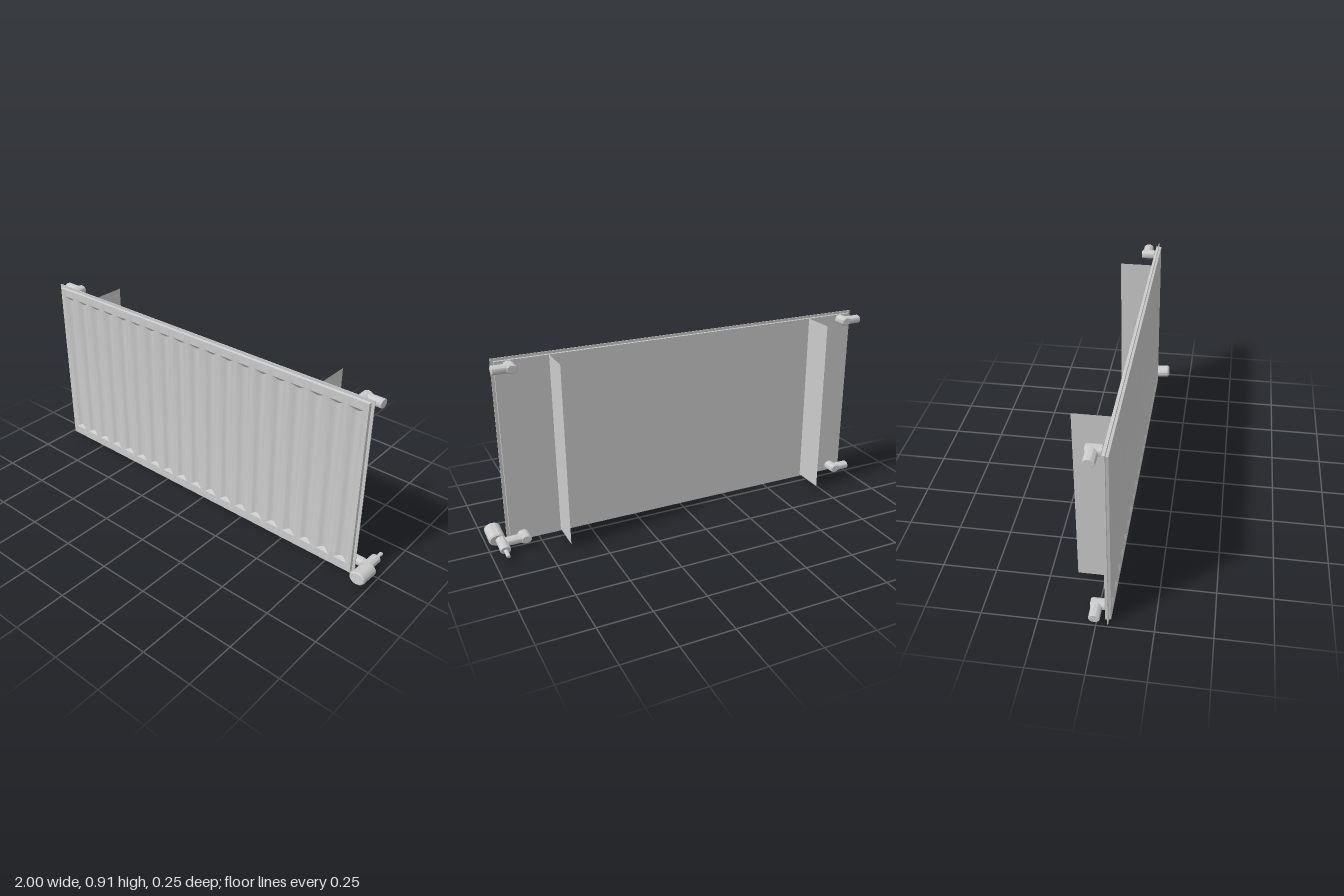
import * as THREE from 'three';
import { toCreasedNormals } from 'three/addons/utils/BufferGeometryUtils.js';

const CX = -0.042;              // middle of the panel
const material = new THREE.MeshStandardMaterial({ color: 0xcccccc });
const thin = new THREE.MeshStandardMaterial({ color: 0xcccccc, side: THREE.DoubleSide });

function add(parent, name, geometry, x = 0, y = 0, z = 0, mat = material) {
  const mesh = new THREE.Mesh(geometry, mat);
  mesh.name = name;
  mesh.position.set(x, y, z);
  parent.add(mesh);
  return mesh;
}

// Turned part along +z with bevelled ends, slightly flattened in height
function turned(radius, z0, z1, bevel = 0.003) {
  const profile = [
    [0, z0], [radius - bevel, z0], [radius, z0 + bevel],
    [radius, z1 - bevel], [radius - bevel, z1], [0, z1],
  ].map(([r, h]) => new THREE.Vector2(r, h));
  const g = new THREE.LatheGeometry(profile, 28);
  g.rotateX(Math.PI / 2);
  g.scale(1, 0.8, 1);
  return toCreasedNormals(g, 0.6);
}

// Pressed sheet with vertical grooves whose ends slope up to the face
function frontSheet() {
  const count = 19, pitch = 0.097, half = 0.042, depth = 0.013, steps = 12;
  const left = CX - 0.93, right = CX + 0.93, bottom = 0.018, top = 0.897;
  const base = 0.05, face = 0.063;

  // Columns: position and groove depth
  const columns = [[left - 0.004, 0, true], [left, 0]];
  for (let i = 0; i < count; i++) {
    const centre = CX + (i - (count - 1) / 2) * pitch;
    for (let k = 0; k <= steps; k++) {
      const t = (k / steps) * 2 - 1;
      columns.push([centre + t * half, depth * 0.5 * (1 + Math.cos(Math.PI * t))]);
    }
  }
  columns.push([right, 0], [right + 0.004, 0, true]);

  const positions = [], index = [], rows = 8;
  for (const [x, d, edge] of columns) {
    const slope = 0.002 + d * 1.2;
    const ys = [bottom - 0.003, bottom, 0.056, 0.056 + slope,
      0.858 - slope, 0.858, top, top + 0.003];
    ys.forEach((y, j) => {
      const rim = edge || j === 0 || j === rows - 1;
      const inGroove = j === 3 || j === 4;
      positions.push(x, y, rim ? base : face - (inGroove ? d : 0));
    });
  }
  for (let i = 0; i < columns.length - 1; i++) {
    for (let j = 0; j < rows - 1; j++) {
      const a = i * rows + j, b = a + rows;
      index.push(a, b, b + 1, a, b + 1, a + 1);
    }
  }
  const g = new THREE.BufferGeometry();
  g.setAttribute('position', new THREE.Float32BufferAttribute(positions, 3));
  g.setIndex(index);
  return toCreasedNormals(g, 0.5);
}

export function createModel() {
  const model = new THREE.Group();
  model.name = 'radiator';

  // Panel: grooved front, flat back and the welded seam between them
  const panel = new THREE.Group();
  panel.name = 'panel';
  model.add(panel);
  add(panel, 'frontSheet', frontSheet(), 0, 0, 0, thin);
  add(panel, 'backSheet', new THREE.BoxGeometry(1.866, 0.885, 0.0115), CX, 0.4575, 0.0423);

  const outline = new THREE.Shape();
  const w = 0.947, h = 0.456;
  outline.moveTo(-w, -h).lineTo(w, -h).lineTo(w, h).lineTo(-w, h).closePath();
  const opening = new THREE.Path();
  const ow = 0.93, oh = 0.438;
  opening.moveTo(-ow, -oh).lineTo(-ow, oh).lineTo(ow, oh).lineTo(ow, -oh).closePath();
  outline.holes.push(opening);
  const seam = new THREE.ExtrudeGeometry(outline, { depth: 0.004, bevelEnabled: false });
  add(panel, 'seamFlange', seam, CX, h, 0.048);

  // Wall brackets
  const bracket = new THREE.PlaneGeometry(0.161, 0.883);
  bracket.rotateY(Math.PI / 2);
  for (const side of [-1, 1]) {
    add(model, side < 0 ? 'rightBracket' : 'leftBracket', bracket,
      CX + side * 0.686, 0.4585, -0.0445, thin);
  }

  // Pipe elbows at the four corners
  for (const side of [-1, 1]) {
    for (const y of [0.04, 0.878]) {
      const elbow = new THREE.Group();
      elbow.name = (y > 0.5 ? 'upper' : 'lower') + (side < 0 ? 'Right' : 'Left') + 'Elbow';
      elbow.position.set(CX + side * 0.872, y, -0.007);
      model.add(elbow);
      add(elbow, 'stub', turned(0.027, -0.028, 0.045, 0.006));
      const pipe = add(elbow, 'pipe', turned(0.0255, 0, 0.086, 0.002));
      pipe.rotation.y = side * Math.PI / 2;
    }
  }

  // Thermostatic valve, tilted a little upward to the front
  const valve = new THREE.Group();
  valve.name = 'valve';
  valve.position.set(0.94, 0.0425, 0);
  valve.rotation.x = -0.1;
  model.add(valve);
  add(valve, 'valveBody', turned(0.025, -0.078, 0.02));
  add(valve, 'valvePin', turned(0.0095, -0.127, -0.07, 0.001));
  add(valve, 'thermostatHead', turned(0.039, 0.013, 0.124, 0.006), 0.016);

  // Short neck joining the lower left elbow to the valve
  const neck = add(model, 'valveNeck', turned(0.0225, 0, 0.05, 0.002), 0.89, 0.04, -0.007);
  neck.rotation.y = Math.PI / 2;

  return model;
}
